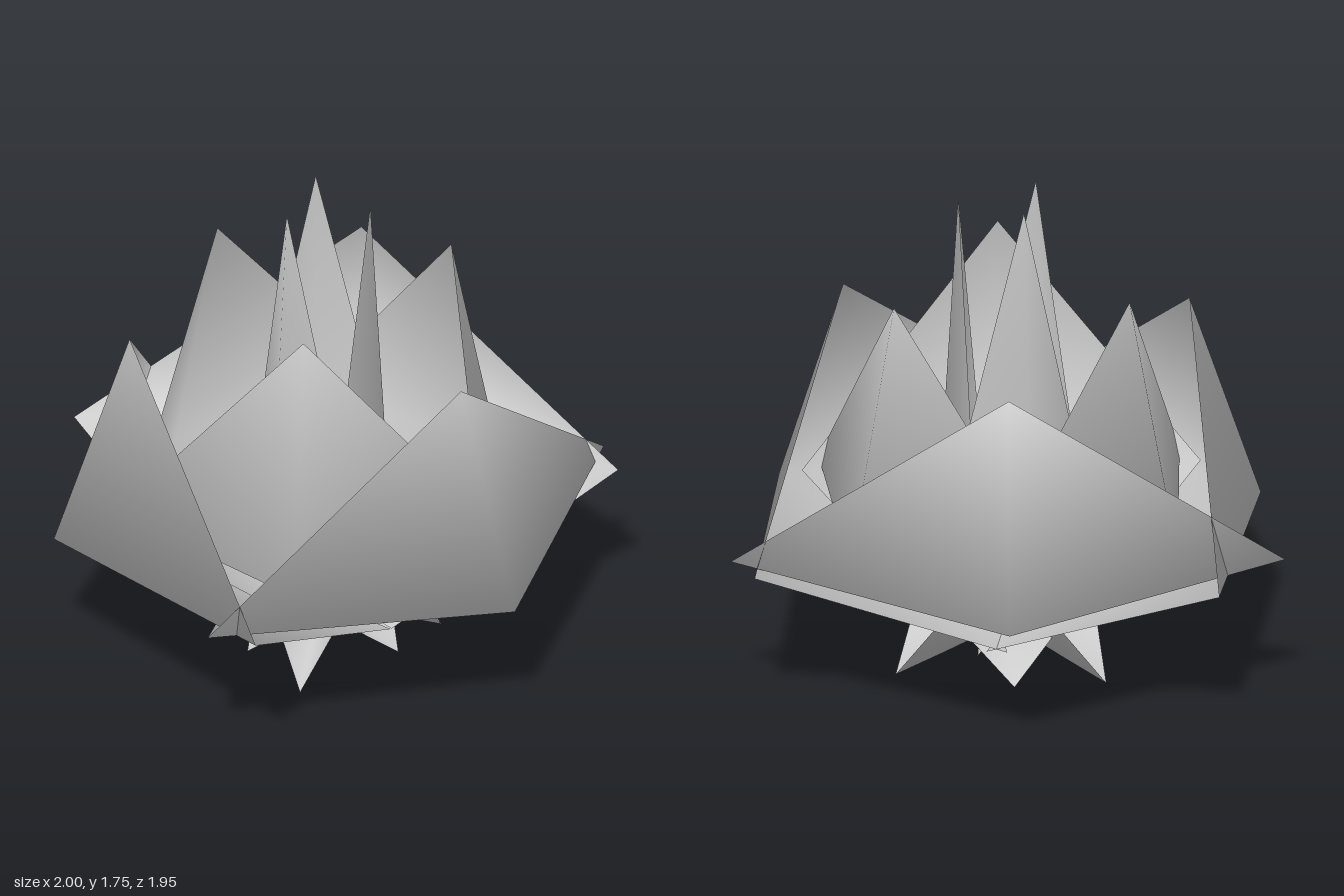
import * as THREE from 'three';

const material = new THREE.MeshStandardMaterial({ color: 0xcccccc, side: THREE.DoubleSide });

// Folded leaf that wraps the axis with its foot, then widens to two side corners and a tip.
// foot and side are [radius, height, half angle in degrees]; base, belly and tip are [radius, height].
function makePetal(name, angle, { foot, base, side, belly, tip }) {
  const polar = (r, y, offset = 0) => {
    const a = THREE.MathUtils.degToRad(angle + offset);
    return [r * Math.cos(a), y, r * Math.sin(a)];
  };
  const geometry = new THREE.BufferGeometry();
  geometry.setAttribute('position', new THREE.Float32BufferAttribute([
    ...polar(foot[0], foot[1], foot[2]),
    ...polar(...base),
    ...polar(foot[0], foot[1], -foot[2]),
    ...polar(side[0], side[1], side[2]),
    ...polar(...belly),
    ...polar(side[0], side[1], -side[2]),
    ...polar(...tip),
  ], 3));
  geometry.setIndex([1, 0, 3, 1, 3, 4, 1, 4, 5, 1, 5, 2, 4, 3, 6, 4, 6, 5]);
  geometry.computeVertexNormals();
  const mesh = new THREE.Mesh(geometry, material);
  mesh.name = name;
  return mesh;
}

function makeRing(name, angles, shape) {
  const ring = new THREE.Group();
  ring.name = name + 's';
  for (const angle of angles) ring.add(makePetal(name, angle, shape));
  return ring;
}

// Petal narrowed by one factor and stretched upward by another
function petalShape(width, height) {
  const y = (v) => 0.16 + v * height;
  return {
    foot: [0.34 * width, y(0), 124],
    base: [0.04 * width, y(0)],
    side: [1.057 * width, y(0.38), 67],
    belly: [0.96 * width, y(0.32)],
    tip: [0.69 * width, y(1.1)],
  };
}

export function createModel() {
  const flower = new THREE.Group();
  flower.name = 'flower';
  flower.position.x = 0.04;

  // Three rings of petals, taller and tighter towards the centre
  flower.add(makeRing('outerPetal', [0, 124.4, -124.4], petalShape(1, 1)));
  flower.add(makeRing('middlePetal', [52.5, 176, -71], petalShape(0.72, 1.175)));
  flower.add(makeRing('innerPetal', [93, 215.5, -31], petalShape(0.247, 1.45)));

  // Drooping leaves under the flower
  flower.add(makeRing('outerLeaf', [180, 55.6, -55.6], {
    foot: [0.08, 0.15, 124], base: [0.01, 0.13], side: [0.3, 0.28, 29], belly: [0.24, 0.055], tip: [0.42, 0],
  }));
  flower.add(makeRing('middleLeaf', [107, -17, 231], {
    foot: [0.06, 0.15, 124], base: [0.01, 0.13], side: [0.27, 0.25, 67], belly: [0.16, 0.08], tip: [0.3, 0.01],
  }));
  flower.add(makeRing('innerLeaf', [180, 55.6, -55.6], {
    foot: [0.03, 0.15, 124], base: [0.01, 0.13], side: [0.11, 0.18, 60], belly: [0.07, 0.08], tip: [0.11, 0.02],
  }));

  const model = new THREE.Group();
  model.name = 'lotus';
  model.add(flower);
  return model;
}
